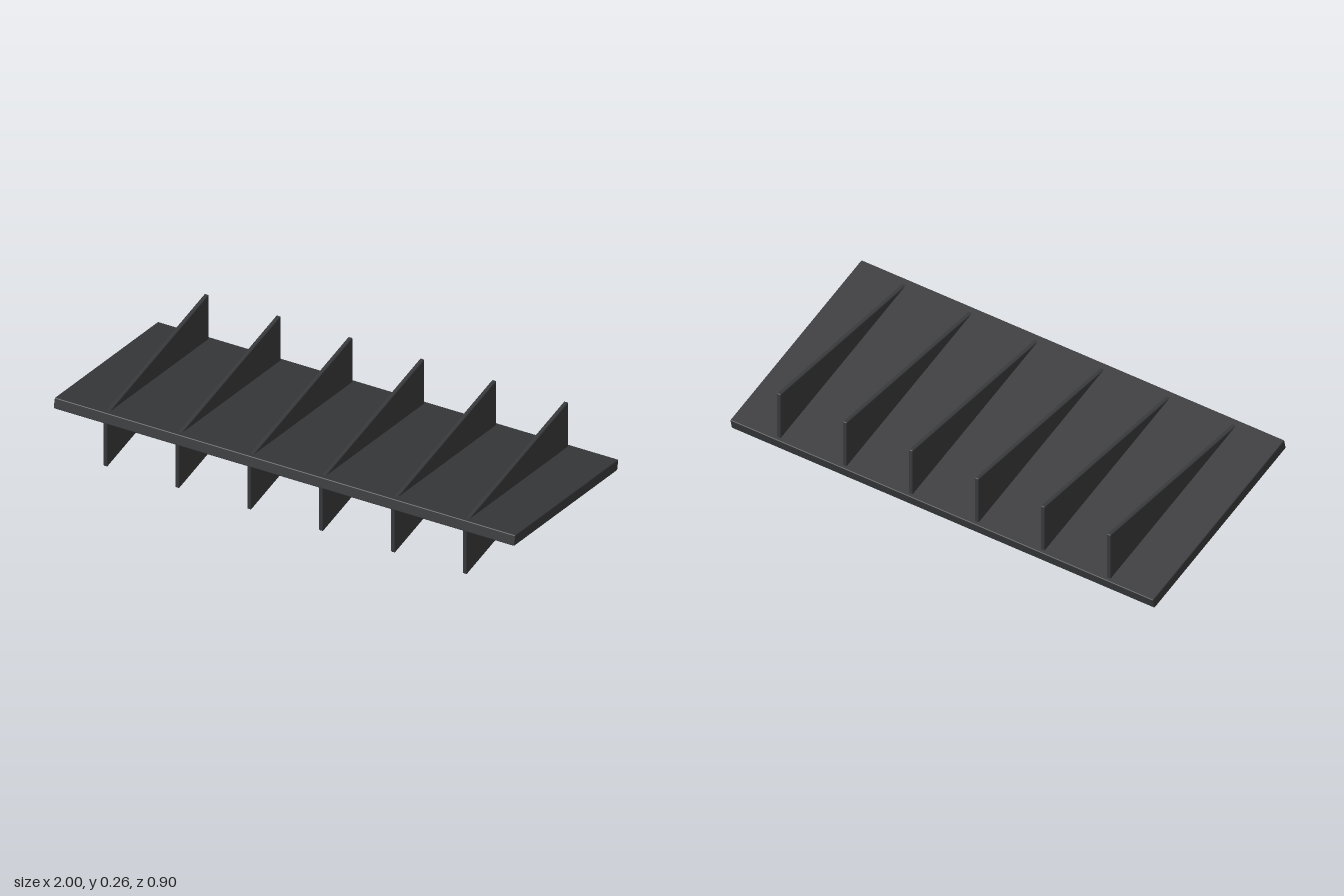
import * as THREE from 'three';
import { RoundedBoxGeometry } from 'three/addons/geometries/RoundedBoxGeometry.js';

export function createModel() {
  const group = new THREE.Group();
  const material = new THREE.MeshStandardMaterial({ color: 0x38393b });

  function addBox(name, size, position) {
    const mesh = new THREE.Mesh(new RoundedBoxGeometry(...size, 2, 0.004), material);
    mesh.name = name;
    mesh.position.set(...position);
    group.add(mesh);
    return mesh;
  }

  // Long slanted plate, higher at the front
  const plate = addBox('slantedPlate', [2, 0.046, 0.918], [0, 0.135, 0]);
  plate.rotation.x = -THREE.MathUtils.degToRad(14);

  // Six upright ribs passing through the plate
  const ribCount = 6;
  const spacing = 0.312;
  for (let i = 0; i < ribCount; i++) {
    const x = (i - (ribCount - 1) / 2) * spacing;
    addBox(`rib${i + 1}`, [0.018, 0.252, 0.876], [x, 0.136, 0.002]);
  }
  return group;
}
